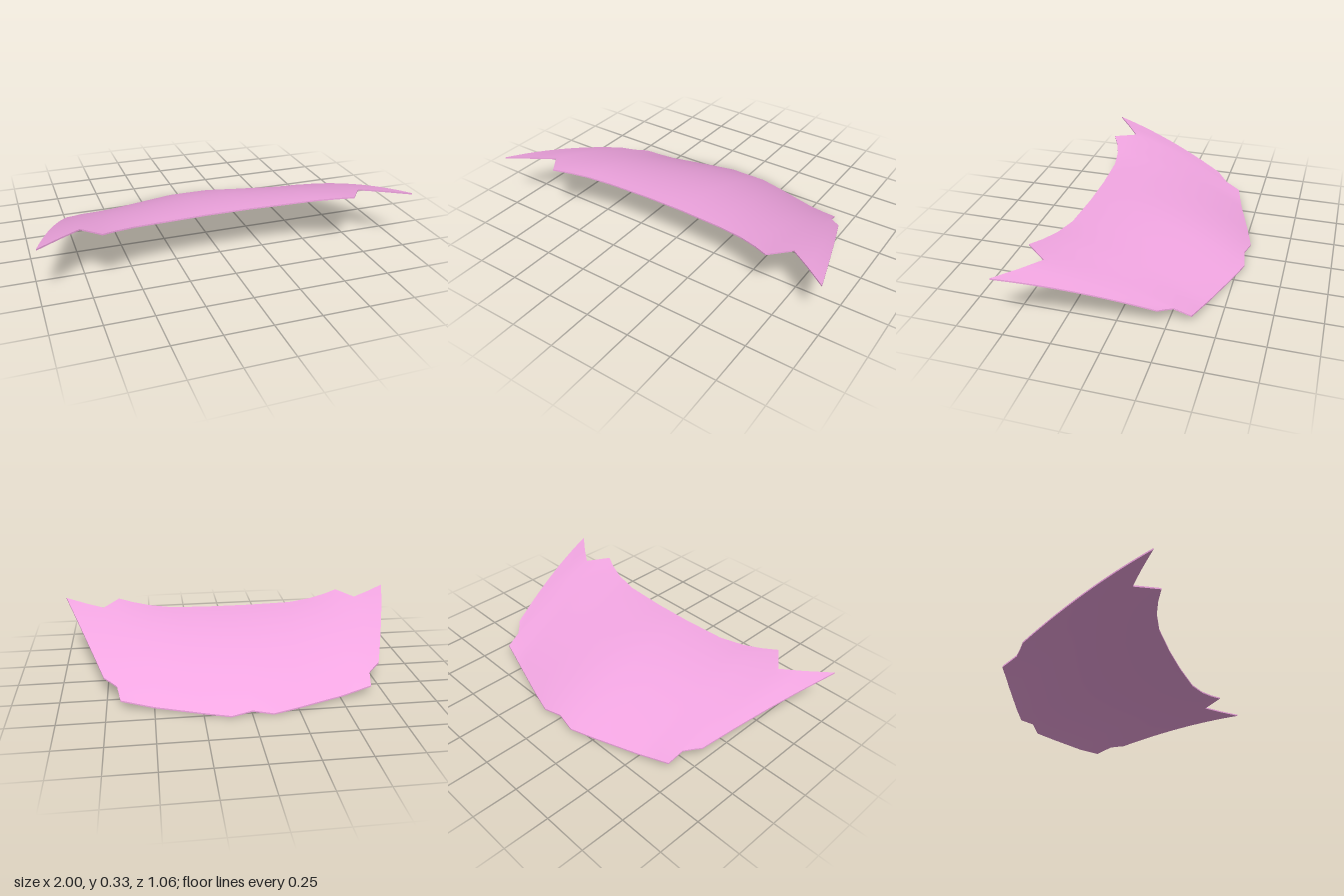
import * as THREE from 'three';

const THICKNESS = 0.008;
const ROWS = 18;

// Half-panel stations from the centre line outwards: front, middle and rear points
const STATIONS = [
  [[0, 0.292, 0.355], [0, 0.21, -0.08], [0, 0.022, -0.515]],
  [[0.11, 0.292, 0.355], [0.11, 0.208, -0.09], [0.11, 0.008, -0.535]],
  [[0.36, 0.293, 0.367], [0.3, 0.203, -0.065], [0.25, 0.014, -0.495]],
  [[0.5, 0.304, 0.395], [0.5, 0.212, -0.01], [0.5, 0.025, -0.415]],
  [[0.6, 0.316, 0.432], [0.595, 0.218, 0.02], [0.59, 0.037, -0.388]],
  [[0.68, 0.328, 0.472], [0.68, 0.224, 0.05], [0.675, 0.05, -0.365]],
  [[0.77, 0.314, 0.355], [0.745, 0.219, 0.04], [0.69, 0.09, -0.28]],
  [[0.88, 0.32, 0.433], [0.82, 0.232, 0.095], [0.725, 0.103, -0.245]],
  [[1, 0.328, 0.527], [0.888, 0.246, 0.16], [0.762, 0.116, -0.213]],
];

// Parabola through the three points of a station
function pointOn([a, m, b], t) {
  const p = a.map((v, i) => v * (1 - t) * (1 - 2 * t) + m[i] * 4 * t * (1 - t) + b[i] * t * (2 * t - 1));
  return new THREE.Vector3(...p);
}

// Smooth surface through a grid of points; grid[i][j]
function gridSurface(grid, flip) {
  const positions = [], index = [], n = grid[0].length;
  grid.forEach((line) => line.forEach((p) => positions.push(p.x, p.y, p.z)));
  for (let i = 0; i < grid.length - 1; i++) {
    for (let j = 0; j < n - 1; j++) {
      const a = i * n + j, b = a + n, c = b + 1, d = a + 1;
      if (flip) index.push(a, d, b, b, d, c);
      else index.push(a, b, d, b, c, d);
    }
  }
  const geometry = new THREE.BufferGeometry();
  geometry.setAttribute('position', new THREE.Float32BufferAttribute(positions, 3));
  geometry.setIndex(index);
  geometry.computeVertexNormals();
  return geometry;
}

export function createModel() {
  const group = new THREE.Group();
  group.name = 'curvedPanel';
  const material = new THREE.MeshStandardMaterial({ color: 0xf2a6e2 });
  const rimMaterial = new THREE.MeshStandardMaterial({ color: 0xf2a6e2, side: THREE.DoubleSide, flatShading: true });
  const add = (name, geometry, mat) => {
    const mesh = new THREE.Mesh(geometry, mat);
    mesh.name = name;
    group.add(mesh);
  };

  // Mirror the stations to span the full width, from -x to +x
  const mirrored = STATIONS.slice(1).reverse().map((s) => s.map(([x, y, z]) => [-x, y, z]));
  const lower = (p) => p.clone().setY(p.y - THICKNESS);
  const top = [...mirrored, ...STATIONS].map((s) =>
    Array.from({ length: ROWS + 1 }, (_, j) => pointOn(s, j / ROWS)));

  // Outer skin and underside (rows run from front to rear)
  add('outerSkin', gridSurface(top, false), material);
  add('underside', gridSurface(top.map((line) => line.map(lower)), true), material);

  // Thin rim around the outline
  const last = top.length - 1;
  const outline = [
    ...top.map((line) => line[0]),
    ...top[last].slice(1),
    ...top.slice(0, last).reverse().map((line) => line[ROWS]),
    ...top[0].slice(0, ROWS).reverse(),
  ];
  add('rim', gridSurface(outline.map((p) => [p, lower(p)]), true), rimMaterial);

  return group;
}
